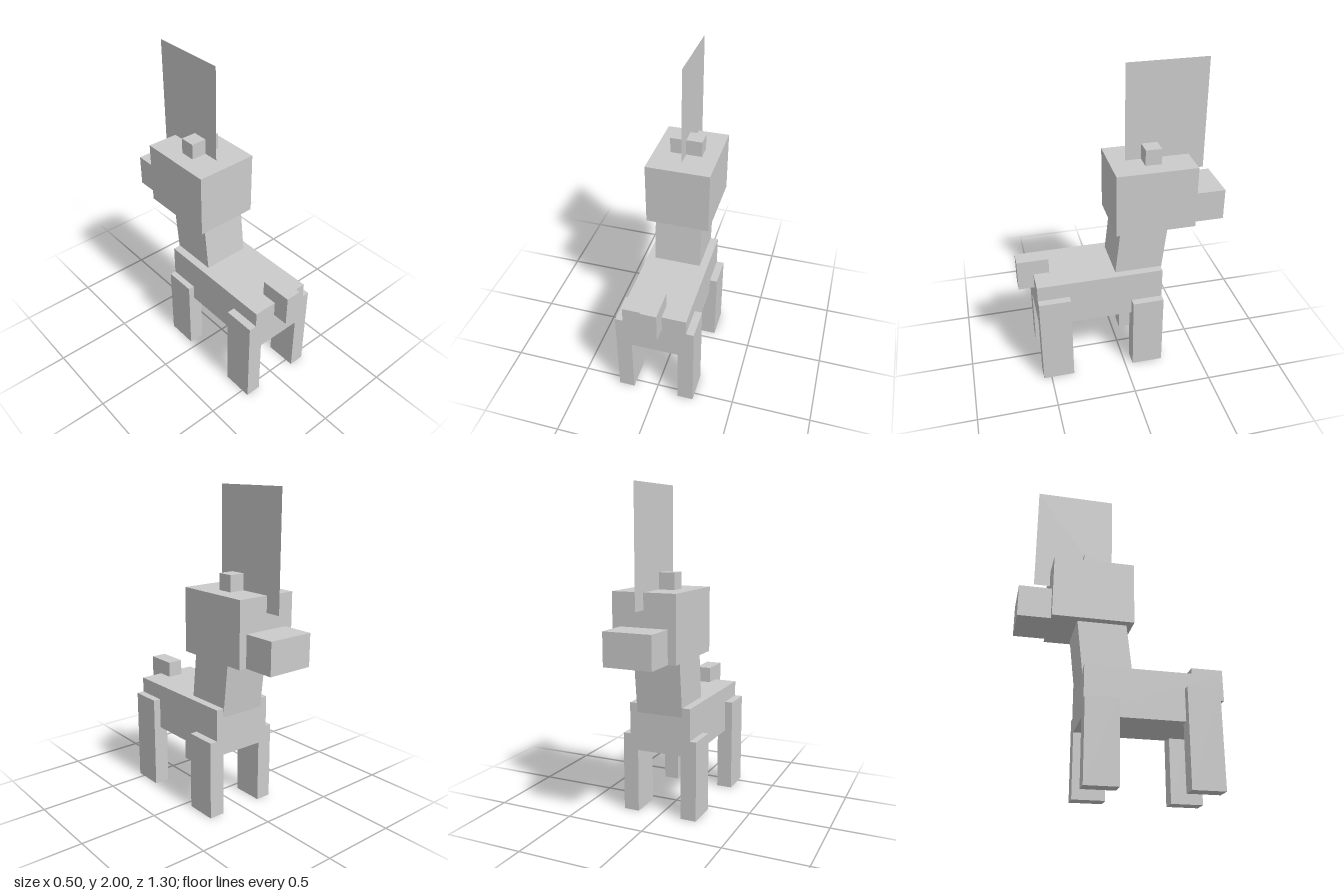
import * as THREE from 'three';

const material = new THREE.MeshStandardMaterial({ color: 0xcccccc, flatShading: true });
const thinMaterial = new THREE.MeshStandardMaterial({ color: 0xcccccc, flatShading: true, side: THREE.DoubleSide });

export function createModel() {
  const model = new THREE.Group();
  model.name = 'blockAnimal';

  // Adds a box of the given size around a centre point
  function box(name, [w, h, d], [x, y, z]) {
    const mesh = new THREE.Mesh(new THREE.BoxGeometry(w, h, d), material);
    mesh.name = name;
    mesh.position.set(x, y, z);
    model.add(mesh);
    return mesh;
  }

  // Trunk and tail; the animal looks towards -z
  box('body', [0.4, 0.3, 0.8], [0, 0.55, 0.15]);
  box('tail', [0.1, 0.2, 0.2], [0, 0.7, 0.55]);

  // Neck leans slightly forward
  box('neck', [0.3, 0.5, 0.3], [0, 0.85, -0.122]).rotation.x = -0.11;

  // Head, snout and ear block
  box('head', [0.4, 0.4, 0.5], [0, 1.2, -0.2]);
  box('snout', [0.3, 0.2, 0.2], [0, 1.1, -0.55]);
  box('ears', [0.2, 0.1, 0.1], [0, 1.45, -0.2]);

  // Upright crest: a flat sheet along the middle of the head
  const crest = new THREE.Mesh(new THREE.PlaneGeometry(0.5, 0.7), thinMaterial);
  crest.name = 'crest';
  crest.rotation.y = Math.PI / 2;
  crest.position.set(0, 1.65, -0.3);
  model.add(crest);

  // Legs: the hind pair reaches higher up the flank
  const legs = [
    ['hindLegLeft', 0.198, 0.6, 0.45],
    ['hindLegRight', -0.2, 0.6, 0.45],
    ['foreLegLeft', 0.198, 0.5, -0.15],
    ['foreLegRight', -0.19, 0.5, -0.15],
  ];
  for (const [name, x, height, z] of legs) {
    box(name, [0.1, height, 0.2], [x, height / 2, z]);
  }

  return model;
}
